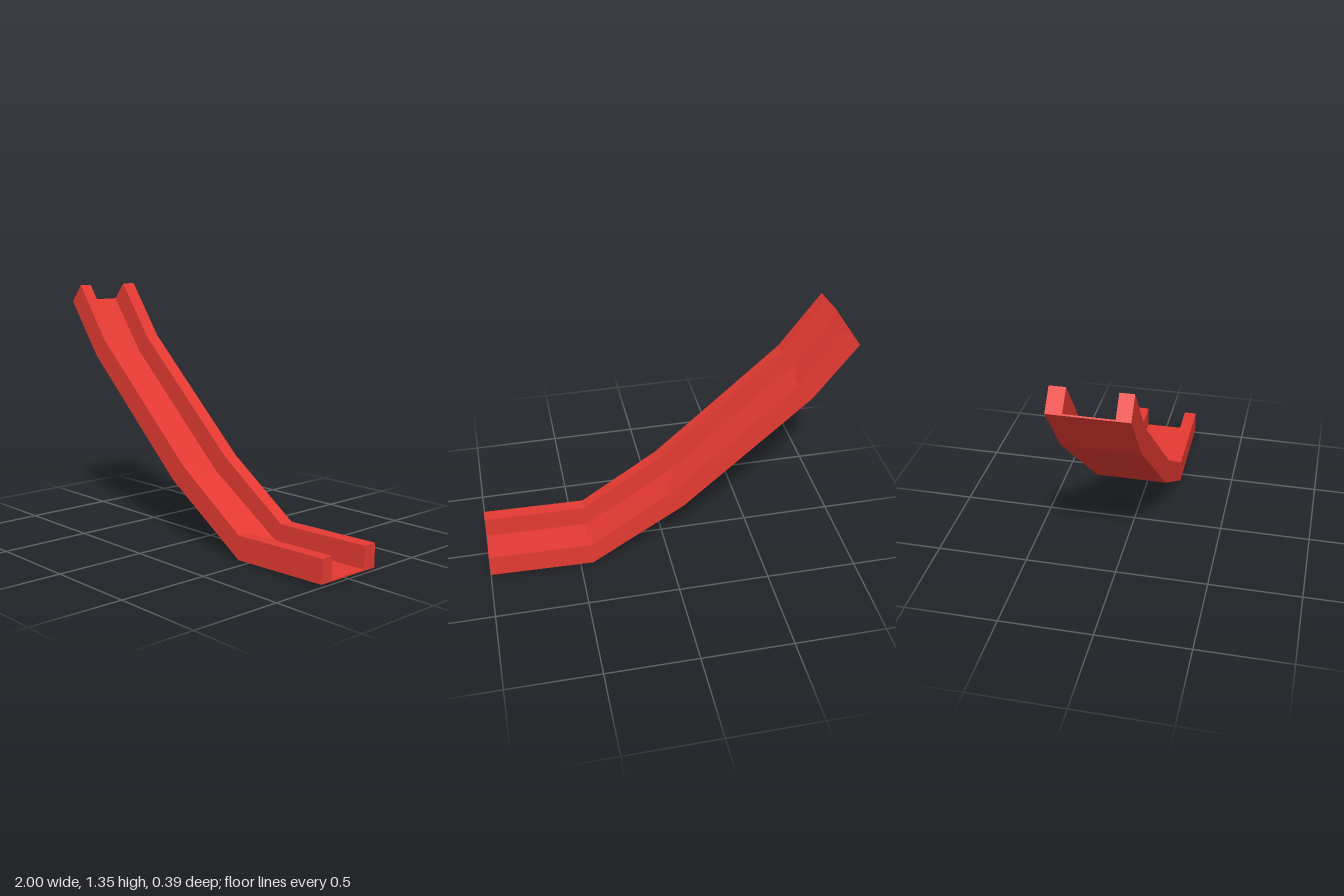
import * as THREE from 'three';

// Side outline of the chute, top end to run-out: [x, y]
const lower = [[-1, 1.257], [-0.77, 0.952], [-0.088, 0.333], [0.43, 0.002], [1, 0.016]];
const upper = [[-0.916, 1.355], [-0.693, 1.052], [-0.005, 0.427], [0.43, 0.133], [1, 0.144]];

// Extrude the strip between the lower line and a fraction of the way to the upper line
function strip(name, fraction, zMin, zMax, material) {
  const top = lower.map(([x, y], i) => new THREE.Vector2(
    x + (upper[i][0] - x) * fraction,
    y + (upper[i][1] - y) * fraction,
  ));
  const bottom = lower.map(([x, y]) => new THREE.Vector2(x, y));
  const shape = new THREE.Shape([...bottom, ...top.reverse()]);
  const geometry = new THREE.ExtrudeGeometry(shape, { depth: zMax - zMin, bevelEnabled: false });
  geometry.translate(0, 0, zMin);
  const mesh = new THREE.Mesh(geometry, material);
  mesh.name = name;
  return mesh;
}

export function createModel() {
  const group = new THREE.Group();
  group.name = 'slide';
  const red = new THREE.MeshStandardMaterial({ color: 0xe53a32, flatShading: true });

  // Thin sliding bed between two thick side rails
  group.add(
    strip('slideBed', 0.06, -0.116, 0.124, red),
    strip('frontRail', 1, 0.124, 0.195, red),
    strip('backRail', 1, -0.196, -0.116, red),
  );
  return group;
}
